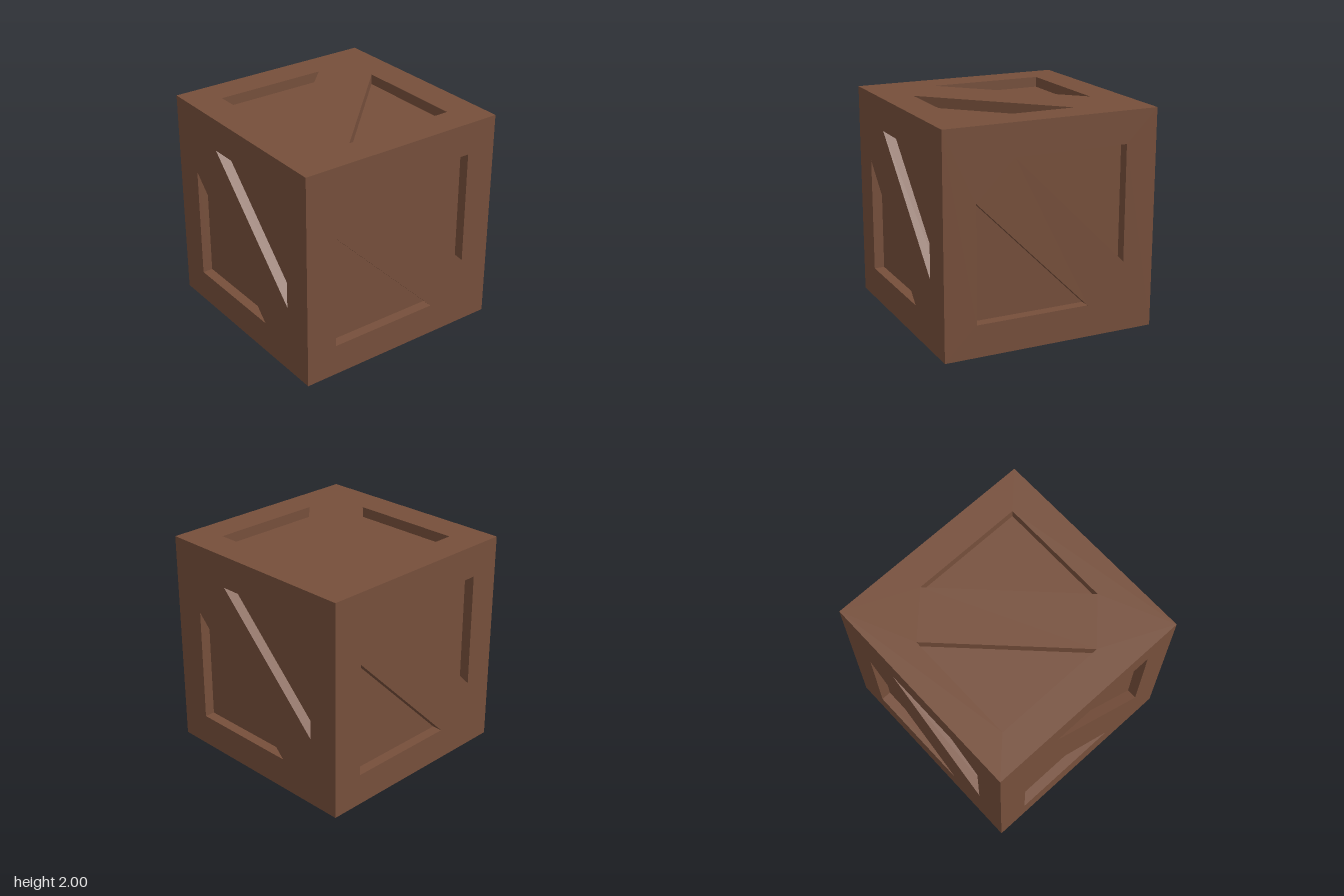
import * as THREE from 'three';

const HALF = 1, DEPTH = 0.095, OUT = 0.706, IN = 0.354;

// Two right triangles (counter-clockwise), leaving a diagonal plank between them
const upper = [[OUT, OUT], [-IN, OUT], [OUT, -IN]];
const lower = upper.map(([x, y]) => [-x, -y]);

// Square face with both triangles cut out
function frameGeometry() {
  const shape = new THREE.Shape([[-1, -1], [1, -1], [1, 1], [-1, 1]]
    .map(([x, y]) => new THREE.Vector2(x * HALF, y * HALF)));
  for (const tri of [upper, lower]) {
    shape.holes.push(new THREE.Path(tri.map(([x, y]) => new THREE.Vector2(x, y))));
  }
  return new THREE.ShapeGeometry(shape).translate(0, 0, HALF);
}

// Inward-facing side walls and floor of one recess
function recessGeometry(tri) {
  const top = tri.map(([x, y]) => [x, y, HALF]);
  const base = tri.map(([x, y]) => [x, y, HALF - DEPTH]);
  const corners = [...base];
  for (let i = 0; i < 3; i++) {
    const j = (i + 1) % 3;
    corners.push(top[i], top[j], base[j], top[i], base[j], base[i]);
  }
  const geometry = new THREE.BufferGeometry();
  geometry.setAttribute('position', new THREE.Float32BufferAttribute(corners.flat(), 3));
  geometry.computeVertexNormals();
  return geometry;
}

export function createModel() {
  const wood = new THREE.MeshStandardMaterial({ color: 0x764f3b });
  wood.name = 'brownWood';

  const parts = {
    frame: frameGeometry(),
    upperRecess: recessGeometry(upper),
    lowerRecess: recessGeometry(lower),
  };

  // The same panel turned onto all six sides
  const q = Math.PI / 2;
  const sides = {
    front: [0, 0], left: [0, q], back: [0, 2 * q], right: [0, -q],
    top: [-q, 0], bottom: [q, 0],
  };

  const crate = new THREE.Group();
  crate.name = 'crate';
  for (const [side, [rx, ry]] of Object.entries(sides)) {
    const panel = new THREE.Group();
    panel.name = side + 'Panel';
    for (const [name, geometry] of Object.entries(parts)) {
      const mesh = new THREE.Mesh(geometry, wood);
      mesh.name = name;
      panel.add(mesh);
    }
    panel.rotation.set(rx, ry, 0);
    panel.position.y = HALF;
    crate.add(panel);
  }
  return crate;
}
